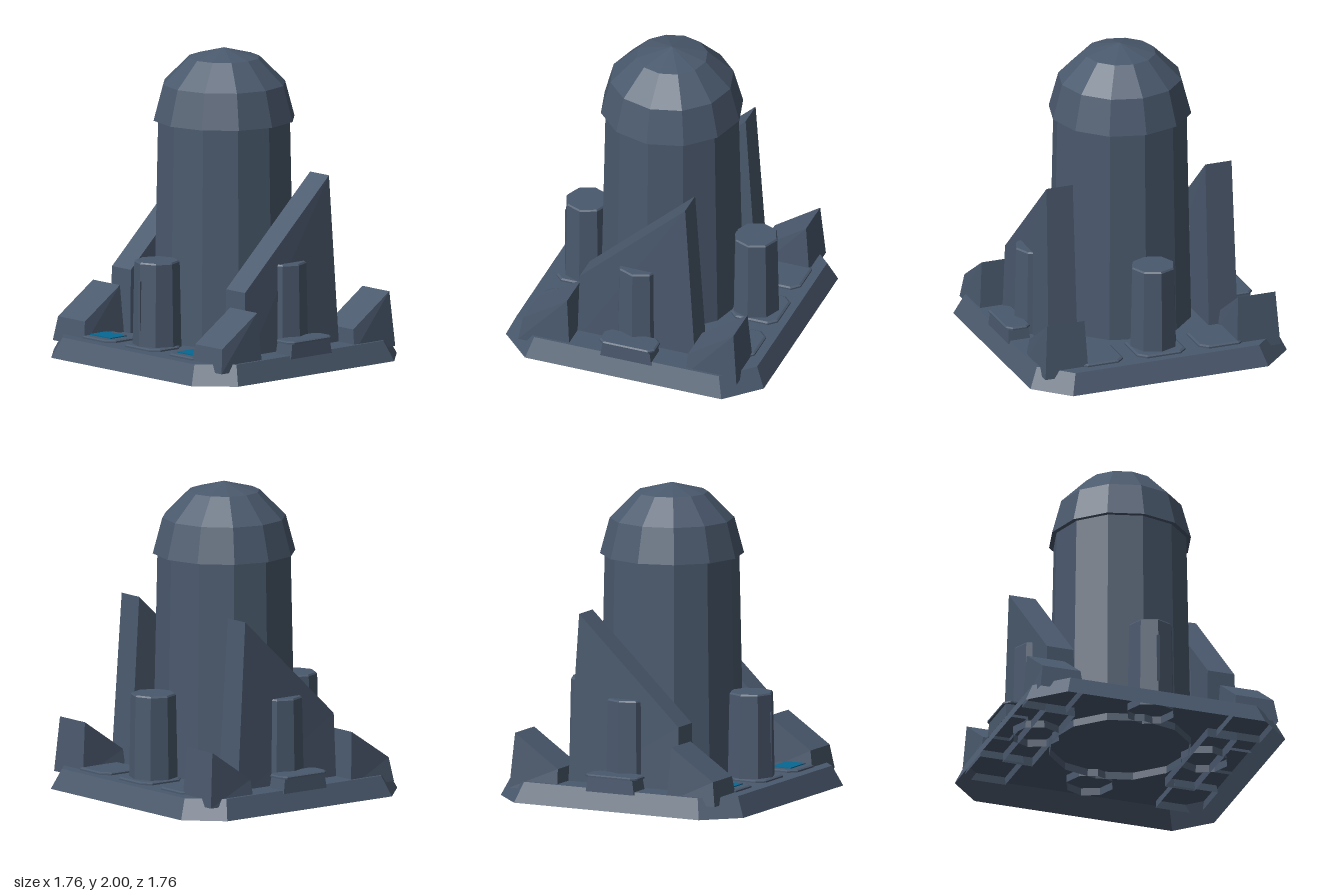
import * as THREE from 'three';

const slate = new THREE.MeshStandardMaterial({ color: 0x4a596d, side: THREE.DoubleSide, flatShading: true });
slate.name = 'slate';
const cyan = new THREE.MeshStandardMaterial({ color: 0x066892, side: THREE.DoubleSide, flatShading: true });
cyan.name = 'cyan';

// Rectangle loop; yFront and yBack may differ for a sloping top
const rect = (cx, hw, zBack, zFront, yBack, yFront = yBack) => [
  [cx - hw, yFront, zFront], [cx + hw, yFront, zFront],
  [cx + hw, yBack, zBack], [cx - hw, yBack, zBack],
];

// Rectangle loop with cut corners
const chamfered = (cx, cz, hw, hd, cut, y) => [
  [-hw + cut, hd], [hw - cut, hd], [hw, hd - cut], [hw, -hd + cut],
  [hw - cut, -hd], [-hw + cut, -hd], [-hw, -hd + cut], [-hw, hd - cut],
].map(([x, z]) => [cx + x, y, cz + z]);

// Regular polygon loop
const polygon = (cx, cz, r, sides, y) => Array.from({ length: sides }, (_, i) => {
  const a = (i / sides) * Math.PI * 2;
  return [cx + r * Math.sin(a), y, cz + r * Math.cos(a)];
});

// Joins loops from bottom to top, open below and optionally capped above
function loft(rings, cap = true) {
  const out = [];
  const n = rings[0].length;
  for (let k = 0; k + 1 < rings.length; k++) {
    const lo = rings[k], hi = rings[k + 1];
    for (let i = 0; i < n; i++) {
      const j = (i + 1) % n;
      out.push(...lo[i], ...lo[j], ...hi[j], ...lo[i], ...hi[j], ...hi[i]);
    }
  }
  const top = rings[rings.length - 1];
  if (cap) for (let i = 1; i + 1 < n; i++) out.push(...top[0], ...top[i], ...top[i + 1]);
  const g = new THREE.BufferGeometry();
  g.setAttribute('position', new THREE.Float32BufferAttribute(out, 3));
  g.computeVertexNormals();
  return g;
}

export function createModel() {
  const model = new THREE.Group();
  model.name = 'domedTower';
  const add = (name, geometry, material = slate) => {
    const mesh = new THREE.Mesh(geometry, material);
    mesh.name = name;
    model.add(mesh);
    return mesh;
  };

  // Hollow base with sloping sides
  add('base', loft([chamfered(0, 0, 0.88, 0.88, 0.21, 0), chamfered(0, 0, 0.82, 0.82, 0.19, 0.13)]));

  // Twelve-sided tower and its overhanging dome
  add('tower', loft([polygon(0, 0, 0.46, 12, 0.08), polygon(0, 0, 0.43, 12, 1.54)], false));
  add('dome', loft([
    polygon(0, 0, 0.43, 12, 1.54),
    ...[0, 30, 60, 90].map((deg) => {
      const a = THREE.MathUtils.degToRad(deg);
      return polygon(0, 0, 0.46 * Math.cos(a), 12, 1.54 + 0.46 * Math.sin(a));
    }),
  ], false));

  // Thin raised plate with bevelled edge
  const pad = (name, cx, cz, hw, hd) => add(name, loft([
    chamfered(cx, cz, hw, hd, 0.05, 0.13),
    chamfered(cx, cz, hw, hd, 0.05, 0.14),
    chamfered(cx, cz, hw - 0.012, hd - 0.012, 0.045, 0.147),
  ]));

  // Octagonal columns around the tower
  const columns = [['frontColumn', 0, 0.575], ['backColumn', 0, -0.575],
    ['leftColumn', 0.57, 0], ['rightColumn', -0.57, 0]];
  for (const [name, x, z] of columns) {
    add(name, loft([
      polygon(x, z, 0.157, 8, 0.08),
      polygon(x, z, 0.145, 8, 0.68),
      polygon(x, z, 0.137, 8, 0.69),
    ]));
  }
  add('frontColumnFin', new THREE.BoxGeometry(0.02, 0.32, 0.03)).position.set(0, 0.41, 0.713);
  pad('frontColumnPad', 0, 0.615, 0.165, 0.13);
  pad('backColumnPad', 0, -0.605, 0.165, 0.16);

  for (const s of [1, -1]) {
    const side = s > 0 ? 'left' : 'right';

    // Tall sloping buttress
    add(side + 'Buttress', loft([
      rect(s * 0.55, 0.1, -0.405, 0.4, 0.07),
      rect(s * 0.545, 0.09, -0.33, 0.39, 1.215, 0.54),
    ]));

    // Wedge blocks on the corners
    add(side + 'FrontBlock', loft([
      rect(s * 0.658, 0.148, 0.395, 0.745, 0.08),
      rect(s * 0.655, 0.128, 0.42, 0.72, 0.435, 0.235),
    ]));
    add(side + 'BackBlock', loft([
      rect(s * 0.658, 0.148, -0.745, -0.395, 0.08),
      rect(s * 0.655, 0.128, -0.715, -0.405, 0.435, 0.225),
    ]));

    // Floor plates and glowing panel
    pad(side + 'FrontPad', s * 0.415, 0.615, 0.155, 0.13);
    pad(side + 'BackPad', s * 0.415, -0.605, 0.155, 0.155);
    add(side + 'Panel', new THREE.BoxGeometry(0.2, 0.008, 0.14), cyan)
      .position.set(s * 0.418, 0.149, 0.618);

    // Lidded box on the side edge
    add(side + 'SideBox', loft([
      rect(s * 0.76, 0.075, -0.175, 0.175, 0.11),
      rect(s * 0.76, 0.07, -0.16, 0.16, 0.205),
    ], false));
    add(side + 'SideBoxLid', loft([
      chamfered(s * 0.762, 0, 0.065, 0.16, 0.03, 0.205),
      chamfered(s * 0.762, 0, 0.083, 0.188, 0.035, 0.205),
      chamfered(s * 0.762, 0, 0.083, 0.188, 0.035, 0.215),
      chamfered(s * 0.762, 0, 0.073, 0.178, 0.03, 0.222),
    ]));
  }
  return model;
}
